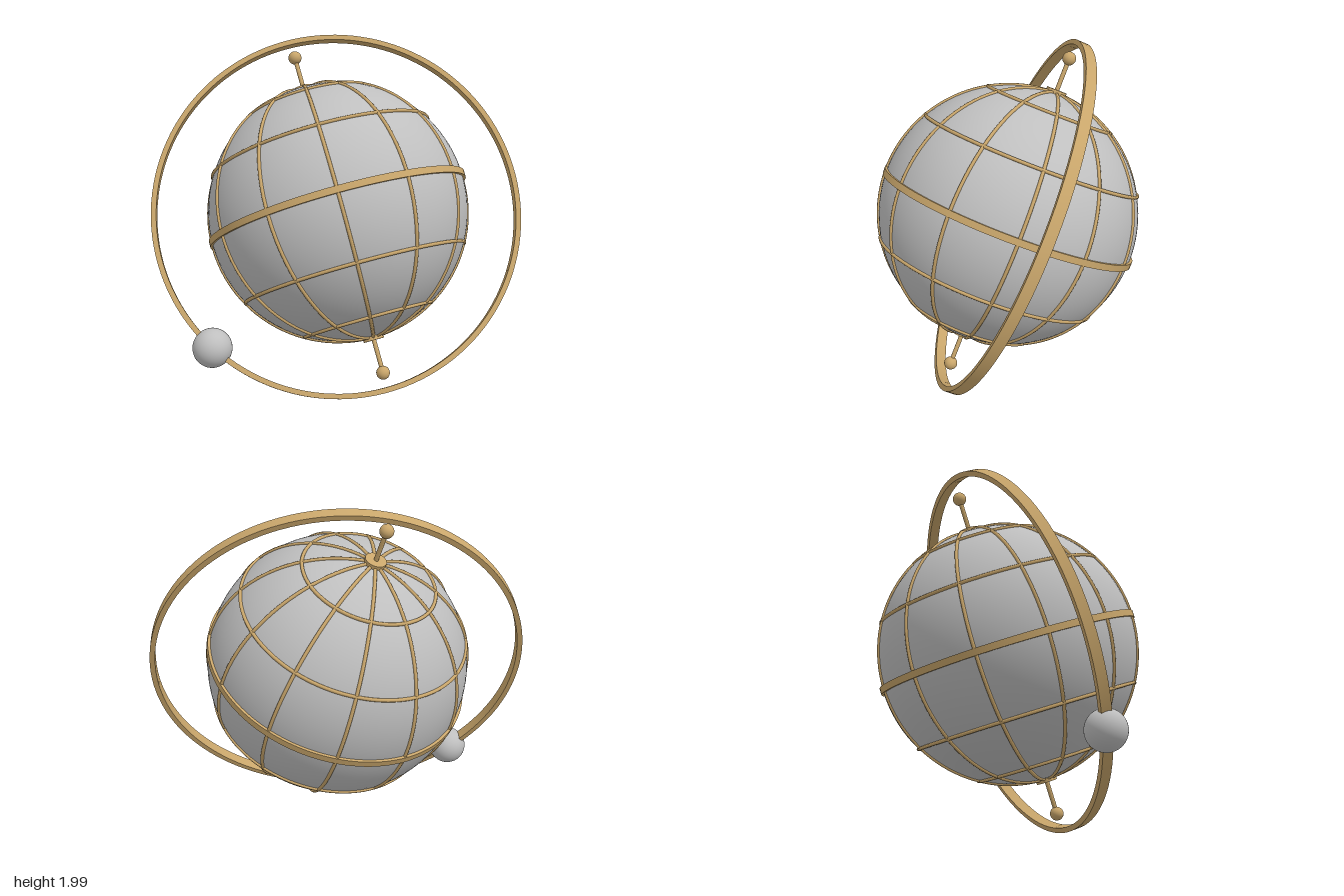
import * as THREE from 'three';
import { toCreasedNormals } from 'three/addons/utils/BufferGeometryUtils.js';

const GLOBE_R = 0.75;
const ORBIT_R = 1.06;

// Flat hoop around the y axis with a rectangular section
function hoop(inner, outer, halfHeight) {
  const profile = [
    [outer, -halfHeight], [outer, halfHeight], [inner, halfHeight],
    [inner, -halfHeight], [outer, -halfHeight],
  ].map(([x, y]) => new THREE.Vector2(x, y));
  return toCreasedNormals(new THREE.LatheGeometry(profile, 128), 0.6);
}

export function createModel() {
  const silver = new THREE.MeshStandardMaterial({ color: 0xbfbfbf });
  silver.name = 'silver';
  const brass = new THREE.MeshStandardMaterial({ color: 0xc9a66b });
  brass.name = 'brass';

  const model = new THREE.Group();
  model.name = 'orbitGlobe';

  function add(parent, name, geometry, material, y = 0) {
    const mesh = new THREE.Mesh(geometry, material);
    mesh.name = name;
    mesh.position.y = y;
    parent.add(mesh);
    return mesh;
  }

  // Tilted globe
  const globe = new THREE.Group();
  globe.name = 'globe';
  globe.position.y = 1;
  globe.rotation.set(THREE.MathUtils.degToRad(-12), 0, THREE.MathUtils.degToRad(23.5), 'ZXY');
  model.add(globe);
  add(globe, 'globeBall', new THREE.SphereGeometry(GLOBE_R, 96, 64), silver);

  // Meridians: six full circles through the poles
  const meridian = new THREE.TorusGeometry(GLOBE_R + 0.002, 0.01, 8, 120);
  for (let i = 0; i < 6; i++) {
    add(globe, 'meridian', meridian, brass).rotation.y = (i * Math.PI) / 6;
  }

  // Parallels and the broader equator
  for (const degrees of [-60, -30, 30, 60]) {
    const a = THREE.MathUtils.degToRad(degrees);
    const r = GLOBE_R + 0.003;
    const parallel = new THREE.TorusGeometry(r * Math.cos(a), 0.01, 8, 120).rotateX(Math.PI / 2);
    add(globe, 'parallel', parallel, brass, r * Math.sin(a));
  }
  add(globe, 'equator', hoop(GLOBE_R - 0.02, GLOBE_R + 0.015, 0.019), brass);

  // Pole collars, pins and finials
  for (const s of [1, -1]) {
    add(globe, 'poleCollar', new THREE.CylinderGeometry(0.06, 0.06, 0.026, 40), brass, s * 0.759);
    add(globe, 'polePin', new THREE.CylinderGeometry(0.013, 0.013, 0.22, 20), brass, s * 0.85);
    add(globe, 'finial', new THREE.SphereGeometry(0.039, 32, 20), brass, s * 0.962);
  }

  // Orbit hoop, leaning on its own axis
  const axis = new THREE.Vector3(0.443, 0.402, 0.801).normalize();
  const orbit = add(model, 'orbitRing', hoop(ORBIT_R - 0.015, ORBIT_R + 0.015, 0.031), brass, 1);
  orbit.quaternion.setFromUnitVectors(new THREE.Vector3(0, 1, 0), axis);

  // Small moon threaded on the hoop
  const moon = add(model, 'moon', new THREE.SphereGeometry(0.112, 48, 32), silver);
  moon.position.set(-0.49, 0.295, 0.622);

  return model;
}
